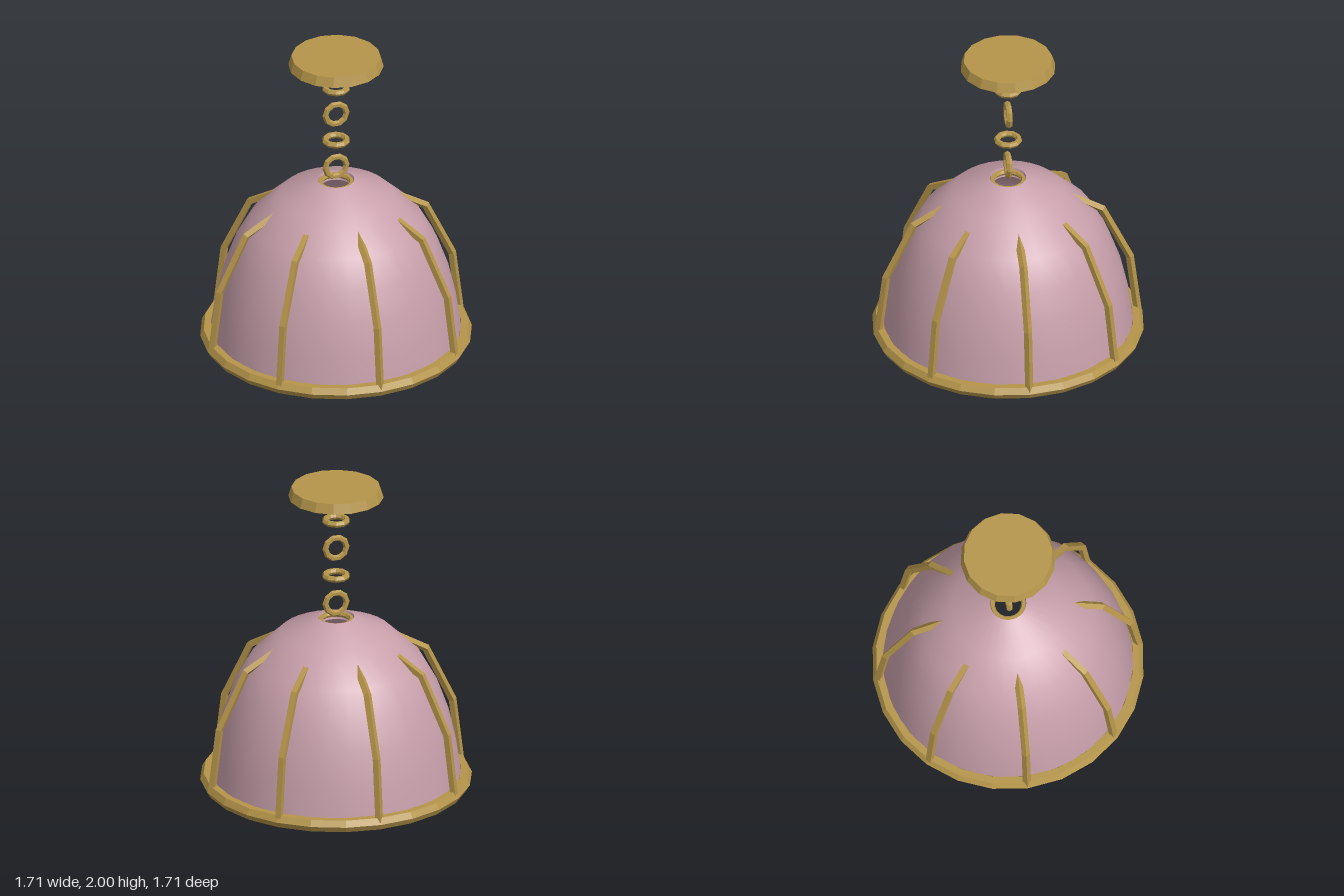
import * as THREE from 'three';

export function createModel() {
  const model = new THREE.Group();
  const brass = new THREE.MeshStandardMaterial({ color: 0xb5954a, flatShading: true });
  brass.name = 'brass';
  const pink = new THREE.MeshStandardMaterial({ color: 0xc79faa });
  pink.name = 'dusty pink';
  const cream = new THREE.MeshStandardMaterial({ color: 0xded4c8 });
  cream.name = 'warm white';

  const add = (name, geometry, material, y = 0, parent = model) => {
    const mesh = new THREE.Mesh(geometry, material);
    mesh.name = name;
    mesh.position.y = y;
    parent.add(mesh);
    return mesh;
  };

  // Ceiling canopy: short flared drum over a shallow cone
  const canopy = [[0, 1.89], [0.3, 1.937], [0.28, 2], [0, 2]].map(p => new THREE.Vector2(...p));
  add('canopy', new THREE.LatheGeometry(canopy, 16), brass);

  // Chain links, alternately upright and flat
  for (let i = 0; i < 4; i++) {
    const link = add('chainLink', new THREE.TorusGeometry(0.07, 0.02, 6, 10), brass, 1.212 + i * 0.187);
    if (i % 2) link.rotation.x = Math.PI / 2;
  }

  // Thick dome shade: separate walls and edges so the rims stay crisp
  const shade = new THREE.Group();
  shade.name = 'shade';
  model.add(shade);
  const outer = [[0.79, 0.04], [0.76, 0.25], [0.712, 0.46], [0.64, 0.66], [0.54, 0.84], [0.35, 1.02], [0.115, 1.12]];
  const inner = [[0.1, 1.06], [0.31, 0.965], [0.48, 0.8], [0.575, 0.64], [0.645, 0.45], [0.69, 0.25], [0.715, 0.04]];
  const walls = {
    shadeOutside: outer,
    shadeInside: inner,
    shadeLowerEdge: [inner[6], outer[0]],
    shadeUpperEdge: [outer[6], inner[0]],
  };
  for (const [name, points] of Object.entries(walls)) {
    add(name, new THREE.LatheGeometry(points.map(p => new THREE.Vector2(...p)), 32), pink, 0, shade);
  }

  // Collar in the top opening
  add('collar', new THREE.TorusGeometry(0.1, 0.018, 6, 16), brass, 1.095).rotation.x = Math.PI / 2;

  // Rim band around the bottom
  add('rimBand', new THREE.TorusGeometry(0.81, 0.045, 6, 24), brass, 0.039).rotation.x = Math.PI / 2;

  // Eight bent ribs, rising from the rim and sinking into the dome
  const rib = [[0.825, 0.04], [0.772, 0.46], [0.583, 0.84], [0.24, 1.03]];
  for (let i = 0; i < 8; i++) {
    const a = (i * Math.PI) / 4;
    const path = new THREE.CatmullRomCurve3(
      rib.map(([r, y]) => new THREE.Vector3(r * Math.cos(a), y, r * Math.sin(a))));
    add('rib', new THREE.TubeGeometry(path, 3, 0.026, 4), brass);
  }

  // Globe bulb
  add('bulb', new THREE.SphereGeometry(0.185, 16, 12), cream, 0.32);

  return model;
}
